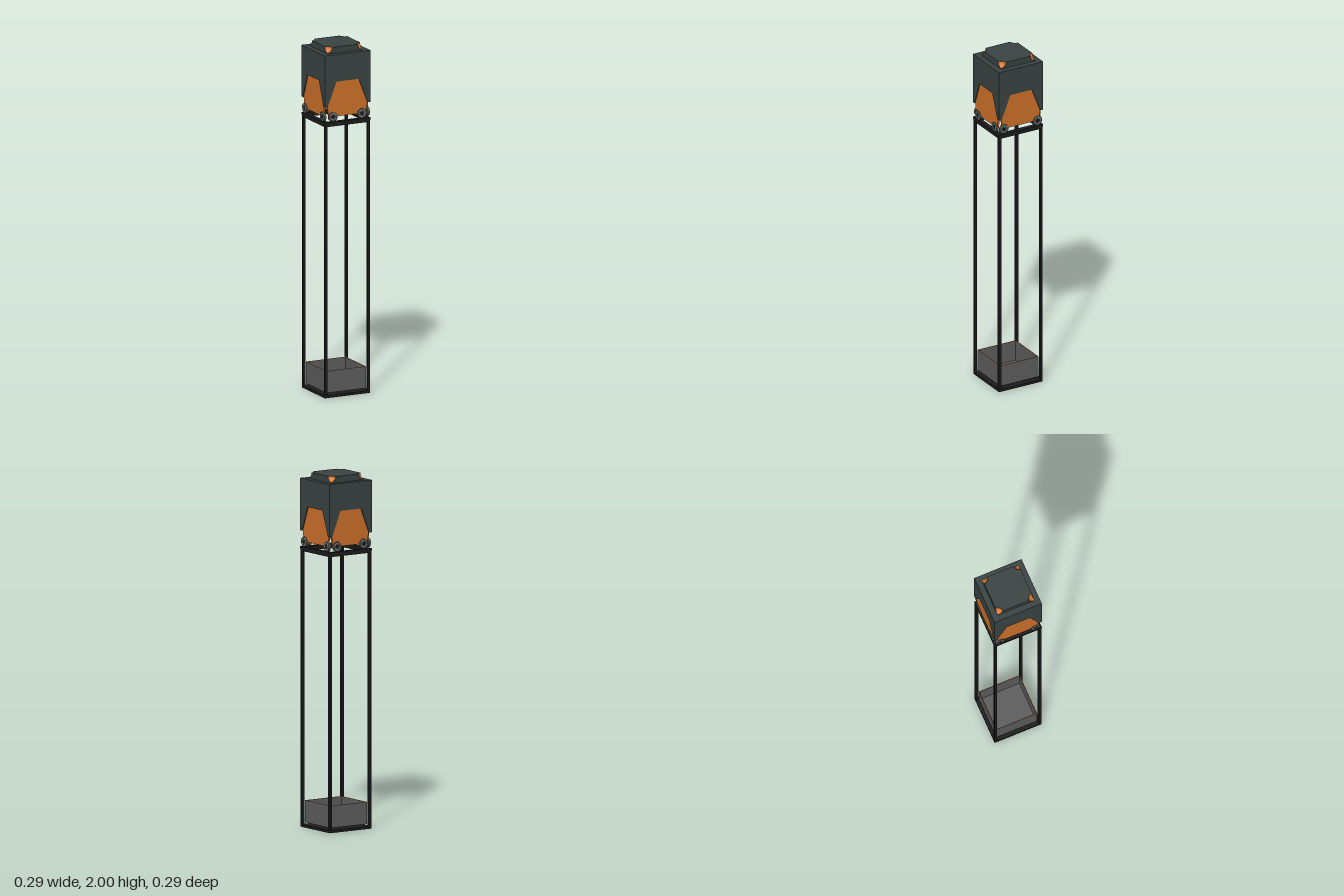
import * as THREE from 'three';

const mat = (color, side = THREE.FrontSide) => new THREE.MeshStandardMaterial({ color, side });
const DARK = mat(0x1c1c1c), SHELL = mat(0x3a4443, THREE.DoubleSide), ORANGE = mat(0xd0722a, THREE.DoubleSide);
const GREY = mat(0x5e5e5e), METAL = mat(0x8a9090);
const W = 0.143; // half width of the tower

function add(parent, name, geometry, material, x = 0, y = 0, z = 0) {
  const mesh = new THREE.Mesh(geometry, material);
  mesh.name = name;
  mesh.position.set(x, y, z);
  parent.add(mesh);
  return mesh;
}

const box = (w, h, d) => new THREE.BoxGeometry(w, h, d);

// polygon given as [x, y] points, extruded along z
function slab(points, depth) {
  const shape = new THREE.Shape(points.map(([x, y]) => new THREE.Vector2(x, y)));
  return new THREE.ExtrudeGeometry(shape, { depth, bevelEnabled: false });
}

// mirror the right half of an outline to close it
const mirrored = (half) => [...half, ...half.map(([x, y]) => [-x, y]).reverse()];

function addWheel(parent, x, y) {
  const wheel = new THREE.Group();
  wheel.name = 'wheel';
  wheel.position.set(x, y, 0.136);
  const disc = add(wheel, 'wheelTyre', new THREE.CylinderGeometry(0.028, 0.028, 0.013, 20), GREY);
  const ring = add(wheel, 'wheelRing', new THREE.TorusGeometry(0.019, 0.005, 8, 20), METAL, 0, 0, 0.0035);
  const hub = add(wheel, 'wheelHub', new THREE.CylinderGeometry(0.012, 0.012, 0.015, 6), DARK);
  disc.rotation.x = hub.rotation.x = Math.PI / 2;
  ring.name = 'wheelRing';
  parent.add(wheel);
}

export function createModel() {
  const model = new THREE.Group();

  // base plate
  add(model, 'basePlate', box(2 * W - 0.004, 0.014, 2 * W - 0.004), DARK, 0, 0.007, 0);

  // open tray above the base
  const T = 0.123;
  add(model, 'trayFloor', box(2 * T, 0.004, 2 * T), GREY, 0, 0.027, 0);

  // cap on top of the head, with a spherical bite out of each corner
  const A = 0.11, R = 0.031, H = 0.036;
  const capTop = new THREE.Shape();
  for (let k = 0; k < 4; k++) {
    const a = Math.PI / 4 + k * Math.PI / 2, c = A * Math.SQRT2, q = k * Math.PI / 2;
    const x = c * Math.cos(a), y = c * Math.sin(a);
    if (k === 0) capTop.moveTo(A, A - R);
    capTop.absarc(x, y, R, q - Math.PI / 2, q - Math.PI, true);
  }
  capTop.closePath();
  add(model, 'capTop', new THREE.ShapeGeometry(capTop, 10), SHELL, 0, 2, 0).rotation.x = -Math.PI / 2;

  const capSide = new THREE.Shape();
  capSide.moveTo(-A, -H);
  capSide.lineTo(A, -H);
  capSide.lineTo(A, -R);
  capSide.absarc(A, 0, R, -Math.PI / 2, -Math.PI, true);
  capSide.lineTo(R - A, 0);
  capSide.absarc(-A, 0, R, 0, -Math.PI / 2, true);
  capSide.closePath();

  // head shell wall: notched at the bottom, with points at the corners
  const wall = slab(mirrored([[W, 1.965], [W, 1.67], [0.125, 1.67], [0.07, 1.81]]), 0.015);
  const panel = slab(mirrored([[0.07, 1.81], [0.125, 1.67], [0.115, 1.61]]), 0.011);
  add(model, 'headRoof', box(2 * W, 0.012, 2 * W), SHELL, 0, 1.959, 0);

  // everything that repeats on the four sides
  for (let k = 0; k < 4; k++) {
    const side = new THREE.Group();
    side.name = ['frontSide', 'leftSide', 'backSide', 'rightSide'][k];
    side.rotation.y = k * Math.PI / 2;
    model.add(side);

    // frame
    add(side, 'post', box(0.015, 1.56, 0.015), DARK, 0.1335, 0.78, 0.1335);
    add(side, 'topRailLower', box(2 * W - 0.004, 0.012, 0.02), DARK, 0, 1.561, 0.131);
    add(side, 'topRailUpper', box(2 * W, 0.014, 0.026), DARK, 0, 1.573, 0.13);

    // tray wall with a thin coloured rim
    add(side, 'trayWall', box(2 * T, 0.122, 0.003), GREY, 0, 0.087, T - 0.0015);
    add(side, 'trayRim', box(2 * T, 0.002, 0.003), ORANGE, 0, 0.149, T - 0.0015);

    // head
    add(side, 'shellWall', wall, SHELL, 0, 0, W - 0.015);
    add(side, 'sidePanel', panel, ORANGE, 0, 0, 0.127);
    const wheelX = k % 2 ? 0.108 : 0.09;
    for (const s of [-1, 1]) addWheel(side, s * wheelX, 1.61);

    // cap
    add(side, 'capSide', new THREE.ShapeGeometry(capSide, 10), SHELL, 0, 2, A);
    const bite = new THREE.SphereGeometry(R, 10, 10, 1.5 * Math.PI, Math.PI / 2, Math.PI / 2, Math.PI / 2);
    add(side, 'capCorner', bite, ORANGE, A, 2, A);
  }
  return model;
}
